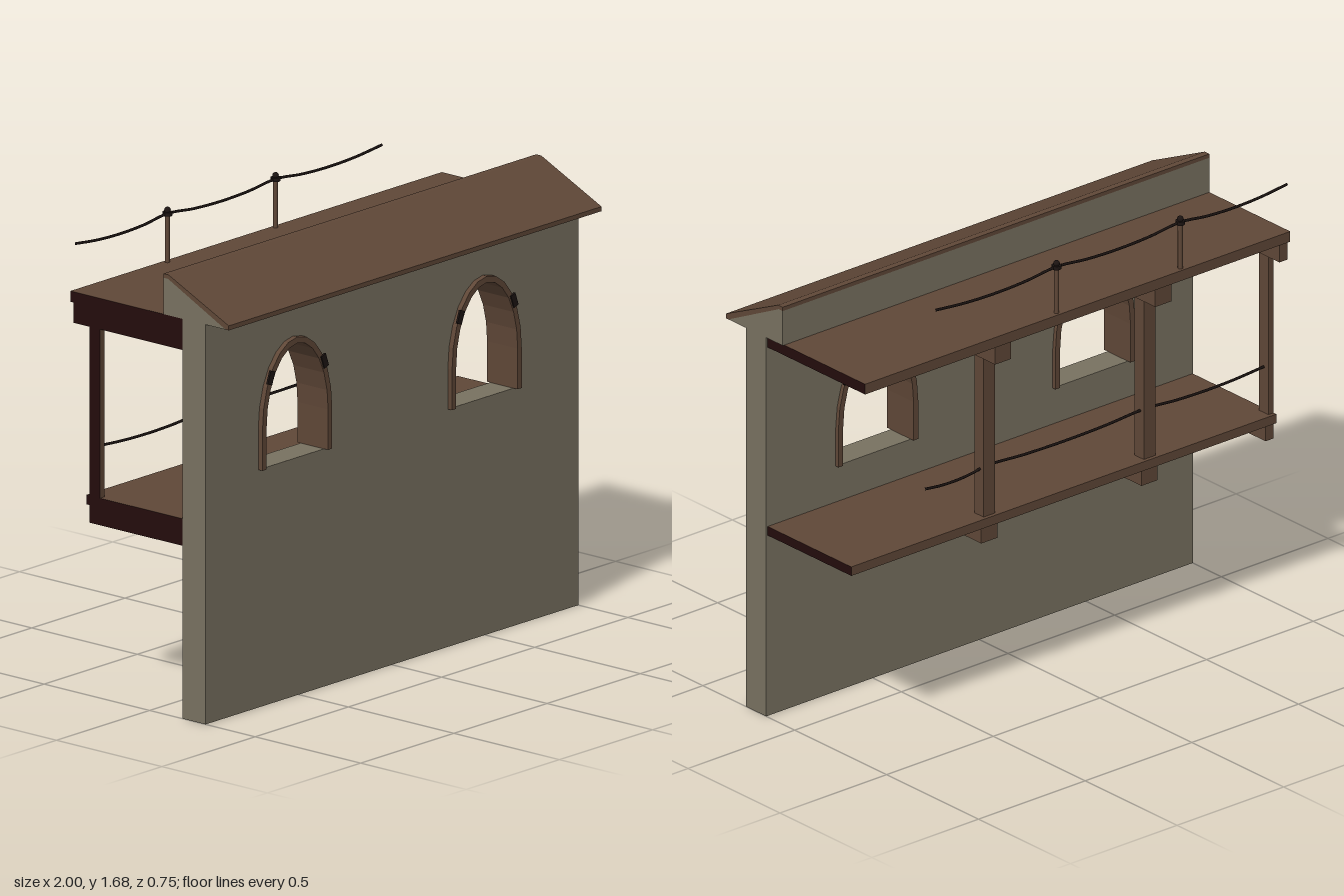
import * as THREE from 'three';

export function createModel() {
  const model = new THREE.Group();
  const material = (name, color) => {
    const m = new THREE.MeshStandardMaterial({ color });
    m.name = name;
    return m;
  };
  const stone = material('stone', 0x787160);
  const timber = material('timber', 0x5f4737);
  const endGrain = material('dark end grain', 0x230c0c);
  const iron = material('dark iron', 0x1c1412);

  const add = (name, geometry, mat) => {
    const mesh = new THREE.Mesh(geometry, mat);
    mesh.name = name;
    model.add(mesh);
    return mesh;
  };
  // Box given by its limits on each axis
  const block = (name, [x0, x1], [y0, y1], [z0, z1], mat) => {
    const g = new THREE.BoxGeometry(x1 - x0, y1 - y0, z1 - z0);
    g.translate((x0 + x1) / 2, (y0 + y1) / 2, (z0 + z1) / 2);
    return add(name, g, mat);
  };
  // Side profile of [z, y] points, extruded along the full width
  const sideProfile = (name, points, mat) => {
    const shape = new THREE.Shape(points.map(([z, y]) => new THREE.Vector2(-z, y)));
    const g = new THREE.ExtrudeGeometry(shape, { depth: 2, bevelEnabled: false });
    g.rotateY(Math.PI / 2).translate(-1, 0, 0);
    return add(name, g, mat);
  };
  // Arch outline from the right foot over the top to the left foot
  const arch = (cx, half, top) => {
    const spring = 1.03, pts = [new THREE.Vector2(cx + half, 0.88)];
    for (let i = 0; i <= 12; i++) {
      const a = (i / 12) * Math.PI;
      pts.push(new THREE.Vector2(cx + half * Math.cos(a), spring + (top - spring) * Math.sin(a)));
    }
    pts.push(new THREE.Vector2(cx - half, 0.88));
    return pts;
  };

  // Wall with two arched windows
  const windows = [-0.53, 0.487];
  const wall = new THREE.Shape([[-1, 0], [1, 0], [1, 1.48], [-1, 1.48]].map(p => new THREE.Vector2(...p)));
  windows.forEach(cx => wall.holes.push(new THREE.Path(arch(cx, 0.187, 1.335))));
  const wallGeometry = new THREE.ExtrudeGeometry(wall, { depth: 0.11, bevelEnabled: false });
  add('wall', wallGeometry.translate(0, 0, 0.155), stone);

  // Window frames with small iron clasps
  windows.forEach(cx => {
    const outline = [...arch(cx, 0.187, 1.335), ...arch(cx, 0.165, 1.312).reverse()];
    const g = new THREE.ExtrudeGeometry(new THREE.Shape(outline), { depth: 0.145, bevelEnabled: false });
    add('windowFrame', g.translate(0, 0, 0.14), timber);
    for (const side of [-1, 1]) {
      for (const z of [0.139, 0.286]) {
        const clasp = add('windowClasp', new THREE.BoxGeometry(0.025, 0.05, 0.008), iron);
        clasp.position.set(cx + side * 0.144, 1.215, z);
        clasp.rotation.z = side * 0.35;
      }
    }
  });

  // Coping on top of the wall: stone wedge under a sloping timber roof
  sideProfile('roofWedge', [[0.36, 1.48], [0.065, 1.48], [0.065, 1.615], [0.087, 1.615]], stone);
  sideProfile('roof', [[0.375, 1.48], [0.36, 1.48], [0.087, 1.615], [0.065, 1.615],
    [0.065, 1.63], [0.09, 1.63], [0.375, 1.497]], timber);

  // Two walkways with dark ends, each on three beams; the last beam is cut at the edge
  const levels = [
    { floor: [1.44, 1.48], back: -0.375, beam: [1.365, 1.44], beamBack: -0.36 },
    { floor: [0.705, 0.74], back: -0.3, beam: [0.64, 0.705], beamBack: -0.285 },
  ];
  const floorMaterials = [endGrain, endGrain, timber, timber, timber, timber];
  const cutMaterials = [timber, endGrain, timber, timber, timber, timber];
  for (const { floor, back, beam, beamBack } of levels) {
    block('walkway', [-1, 0.993], floor, [back, 0.155], floorMaterials);
    for (const x of [-0.418, 0.333]) block('beam', [x - 0.038, x + 0.038], beam, [beamBack, 0.155], timber);
    block('edgeBeam', [-1, -0.962], beam, [beamBack, 0.155], cutMaterials);
  }

  // Posts between the walkways
  for (const x of [-0.418, 0.333]) block('post', [x - 0.027, x + 0.027], [0.74, 1.365], [-0.285, -0.235], timber);
  block('edgePost', [-1, -0.975], [0.74, 1.365], [-0.285, -0.235], cutMaterials);

  // Sagging rope through a row of [x, y] supports
  const rope = (name, supports, z, sag) => {
    const pts = [];
    supports.forEach(([x, y], i) => {
      pts.push(new THREE.Vector3(x, y, z));
      if (i === supports.length - 1) return;
      const [nx, ny] = supports[i + 1];
      for (const t of [0.25, 0.5, 0.75]) {
        pts.push(new THREE.Vector3(x + (nx - x) * t, y + (ny - y) * t - sag * 4 * t * (1 - t), z));
      }
    });
    add(name, new THREE.TubeGeometry(new THREE.CatmullRomCurve3(pts), 48, 0.005, 6), iron);
  };
  rope('upperRope', [[-1, 1.658], [-0.5, 1.66], [0.08, 1.66], [0.65, 1.66]], -0.357, 0.018);
  rope('lowerRope', [[-0.97, 0.922], [-0.418, 0.925], [0.333, 0.925], [0.62, 0.92]], -0.265, 0.013);

  // Rope stanchions on the upper walkway
  for (const x of [-0.5, 0.08]) {
    add('stanchion', new THREE.CylinderGeometry(0.009, 0.009, 0.18, 8).translate(x, 1.57, -0.357), timber);
    add('stanchionRing', new THREE.CylinderGeometry(0.018, 0.018, 0.014, 10).translate(x, 1.66, -0.357), iron);
    add('stanchionKnob', new THREE.SphereGeometry(0.012, 10, 8).translate(x, 1.673, -0.357), iron);
  }
  return model;
}
